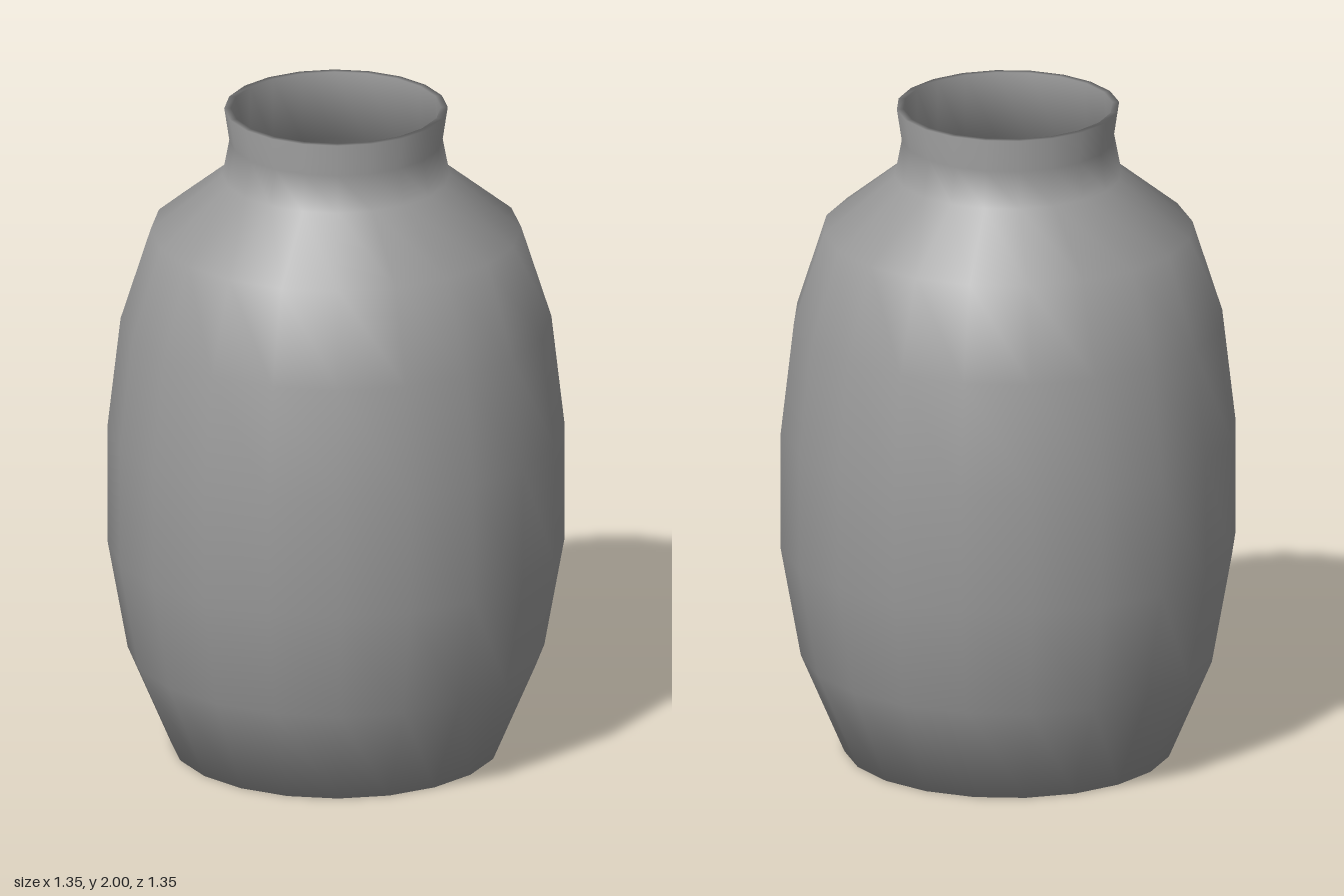
import * as THREE from 'three';
import { mergeVertices } from 'three/addons/utils/BufferGeometryUtils.js';

const SIDES = 20;
const WALL = 0.02;
const MOUTH = 0.311;

// Outer silhouette from foot to lip: [radius, height]
const BODY = [
  [0.487, 0], [0.617, 0.305], [0.677, 0.64], [0.677, 1.0], [0.638, 1.34], [0.549, 1.62],
];
const NECK = [[0.337, 1.79], [0.316, 1.9], [0.331, 2]];

export function createModel() {
  const jar = new THREE.Group();
  jar.name = 'jar';

  // Hollow inside: straight mouth, then parallel to the body down to the floor
  const inner = BODY.map(([r, y]) => [r - WALL, Math.max(y, WALL)]).reverse();
  const profile = [
    [0, 0], ...BODY, ...NECK,
    [MOUTH, 2], [MOUTH, 1.79], ...inner, [0, WALL],
  ].map(([r, y]) => new THREE.Vector2(r, y));

  // One continuous skin, smoothed over base, lip and inside with area-weighted normals
  const lathe = new THREE.LatheGeometry(profile, SIDES);
  lathe.deleteAttribute('uv');
  lathe.deleteAttribute('normal');
  const geometry = mergeVertices(lathe);
  geometry.computeVertexNormals();

  const vessel = new THREE.Mesh(geometry, new THREE.MeshStandardMaterial({ color: 0x9b9b9b }));
  vessel.name = 'vessel';
  jar.add(vessel);
  return jar;
}
